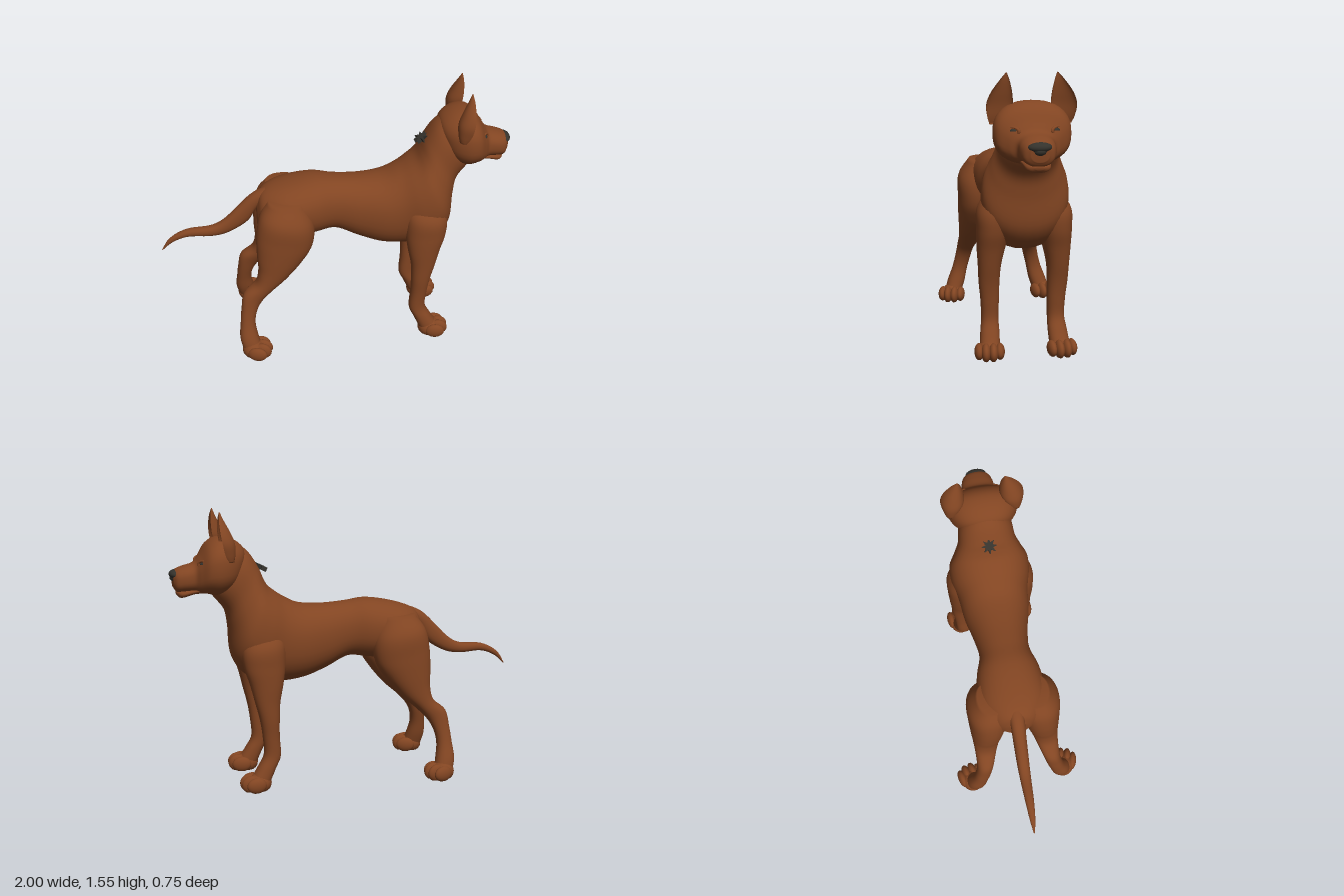
import * as THREE from 'three';

const coat = new THREE.MeshStandardMaterial({ color: 0x824522 });
coat.name = 'russet coat';
const dark = new THREE.MeshStandardMaterial({ color: 0x34322c });
dark.name = 'dark nose';

const ellipse = (c) => Math.sign(c) * Math.abs(c) ** 0.9;

// Smooth closed skin through rings [ax, ay, bx, by, z, halfWidth]: a and b are opposite ring points.
function loft(rows, steps = 6, sides = 32, section = ellipse) {
  const A = new THREE.CatmullRomCurve3(rows.map((r) => new THREE.Vector3(r[0], r[1], r[4])), false, 'catmullrom', 0.5);
  const B = new THREE.CatmullRomCurve3(rows.map((r) => new THREE.Vector3(r[2], r[3], r[5])), false, 'catmullrom', 0.5);
  const n = (rows.length - 1) * steps;
  const pos = [], idx = [];
  for (let i = 0; i <= n; i++) {
    const a = A.getPoint(i / n), b = B.getPoint(i / n);
    for (let j = 0; j < sides; j++) {
      const t = (j / sides) * Math.PI * 2, k = section(Math.cos(t));
      pos.push((a.x + b.x) / 2 + ((a.x - b.x) / 2) * k, (a.y + b.y) / 2 + ((a.y - b.y) / 2) * k,
        a.z + Math.max(b.z, 0.001) * ellipse(Math.sin(t)));
    }
  }
  for (let i = 0; i < n; i++) {
    for (let j = 0; j < sides; j++) {
      const p = i * sides + j, q = i * sides + ((j + 1) % sides);
      idx.push(p, q, p + sides, q, q + sides, p + sides);
    }
  }
  // end caps
  const first = rows[0], last = rows[rows.length - 1], c = pos.length / 3;
  for (const r of [first, last]) pos.push((r[0] + r[2]) / 2, (r[1] + r[3]) / 2, r[4]);
  for (let j = 0; j < sides; j++) {
    const k = (j + 1) % sides;
    idx.push(c, k, j, c + 1, n * sides + j, n * sides + k);
  }
  const g = new THREE.BufferGeometry();
  g.setAttribute('position', new THREE.Float32BufferAttribute(pos, 3));
  g.setIndex(idx);
  g.computeVertexNormals();
  return g;
}

function add(parent, name, geometry, material = coat) {
  const m = new THREE.Mesh(geometry, material);
  m.name = name;
  parent.add(m);
  return m;
}

function blob(parent, name, [x, y, z], [rx, ry, rz], material = coat) {
  const g = new THREE.SphereGeometry(1, 24, 16).scale(rx, ry, rz).translate(x, y, z);
  const p = g.attributes.position;
  for (let i = 0; i < p.count; i++) p.setY(i, Math.max(p.getY(i), 0)); // flat on the ground
  return add(parent, name, g, material);
}

function paw(parent, name, x, z, yaw) {
  const g = new THREE.Group();
  g.name = name;
  blob(g, 'pad', [-0.01, 0.04, 0], [0.068, 0.058, 0.066]);
  [-0.056, -0.02, 0.02, 0.056].forEach((dz) => {
    const inner = Math.abs(dz) < 0.03;
    blob(g, 'toe', [inner ? 0.042 : 0.022, 0.042, dz], [0.056, inner ? 0.05 : 0.044, 0.026]);
  });
  g.position.set(x, 0, z);
  g.rotation.y = yaw;
  parent.add(g);
}

export function createModel() {
  const dog = new THREE.Group();
  dog.name = 'dog';

  // trunk and neck
  add(dog, 'body', loft([
    [-0.445, 0.88, -0.445, 0.74, 0, 0.06],
    [-0.41, 0.955, -0.40, 0.69, 0, 0.13],
    [-0.30, 1.0, -0.28, 0.67, 0, 0.195],
    [-0.13, 1.03, -0.12, 0.69, 0, 0.18],
    [0, 1.018, 0, 0.70, 0, 0.145],
    [0.14, 1.01, 0.13, 0.64, 0, 0.16],
    [0.27, 1.02, 0.27, 0.592, 0, 0.19],
    [0.36, 1.06, 0.42, 0.58, 0, 0.205],
    [0.42, 1.10, 0.56, 0.605, 0, 0.23],
    [0.46, 1.135, 0.66, 0.72, 0, 0.228],
    [0.485, 1.18, 0.68, 0.90, 0, 0.19],
    [0.51, 1.24, 0.70, 1.0, 0, 0.163],
    [0.56, 1.32, 0.76, 1.08, 0, 0.15],
    [0.62, 1.37, 0.82, 1.16, 0, 0.12],
  ]));

  // tail
  add(dog, 'tail', loft([
    [-0.34, 0.89, -0.32, 0.975, 0, 0.05],
    [-0.40, 0.885, -0.39, 0.968, 0, 0.043],
    [-0.45, 0.835, -0.47, 0.93, 0, 0.04],
    [-0.50, 0.757, -0.55, 0.855, 0, 0.038],
    [-0.61, 0.69, -0.63, 0.775, 0, 0.035],
    [-0.71, 0.67, -0.71, 0.732, 0, 0.031],
    [-0.84, 0.674, -0.85, 0.718, 0, 0.024],
    [-0.93, 0.643, -0.95, 0.665, 0, 0.015],
    [-0.997, 0.587, -1.0, 0.59, 0, 0.003],
  ], 6, 20));

  // head, lower jaw and nose
  add(dog, 'head', loft([
    [0.575, 1.30, 0.60, 1.22, 0, 0.05],
    [0.60, 1.36, 0.64, 1.15, 0, 0.13],
    [0.66, 1.40, 0.68, 1.11, 0, 0.178],
    [0.73, 1.41, 0.74, 1.09, 0, 0.2],
    [0.79, 1.378, 0.80, 1.10, 0, 0.185],
    [0.835, 1.31, 0.84, 1.105, 0, 0.135],
    [0.865, 1.274, 0.87, 1.112, 0, 0.097],
    [0.92, 1.257, 0.92, 1.113, 0, 0.09],
    [0.96, 1.243, 0.96, 1.115, 0, 0.076],
    [0.983, 1.225, 0.98, 1.14, 0, 0.045],
  ], 6, 40, (c) => Math.sign(c) * Math.abs(c) ** 0.8));
  add(dog, 'lowerJaw', loft([
    [0.78, 1.17, 0.78, 1.10, 0, 0.10],
    [0.86, 1.14, 0.86, 1.10, 0, 0.075],
    [0.92, 1.13, 0.92, 1.083, 0, 0.064],
    [0.95, 1.125, 0.945, 1.082, 0, 0.05],
    [0.965, 1.115, 0.962, 1.098, 0, 0.02],
  ], 5, 24));
  blob(dog, 'nose', [0.965, 1.212, 0], [0.035, 0.026, 0.06], dark);
  blob(dog, 'nose', [0.965, 1.195, 0], [0.032, 0.026, 0.036], dark);

  // dark tuft on the nape
  const star = new THREE.Shape(Array.from({ length: 16 }, (_, i) => {
    const r = i % 2 ? 0.022 : 0.046, a = (i / 16) * Math.PI * 2;
    return new THREE.Vector2(Math.cos(a) * r, Math.sin(a) * r);
  }));
  const tuft = add(dog, 'napeTuft', new THREE.ExtrudeGeometry(star, { depth: 0.025, bevelEnabled: false })
    .rotateX(-Math.PI / 2), dark);
  tuft.position.set(0.502, 1.223, 0);
  tuft.rotation.z = 0.45;

  for (const s of [1, -1]) {
    // scooped ears, open to the front
    add(dog, 'ear', loft([
      [1.29, 0.180, 0.030, 0.700, 0.030],
      [1.33, 0.175, 0.048, 0.722, 0.060],
      [1.39, 0.165, 0.066, 0.737, 0.075],
      [1.45, 0.156, 0.055, 0.745, 0.060],
      [1.51, 0.141, 0.028, 0.745, 0.030],
      [1.552, 0.13, 0.003, 0.738, 0.005],
    ].map(([y, z, w, x, t]) => [x - t, y, x + t, y, z * s, w]), 5, 28, (c) => (c > 0 ? c : -0.4 * c)));

    // eyes with lids
    const eye = new THREE.Group();
    eye.name = 'eye';
    blob(eye, 'eyeball', [0, 0, 0], [0.022, 0.014, 0.014], dark).geometry.computeBoundingSphere();
    add(eye, 'eyelids', new THREE.TorusGeometry(0.026, 0.008, 10, 28).scale(1.25, 0.72, 1));
    eye.position.set(0.826, 1.272, 0.11 * s);
    eye.rotation.y = Math.PI / 2 - s * 0.65;
    dog.add(eye);

    // legs
    add(dog, 'frontLeg', loft([
      [0.59, 0.90, 0.40, 0.92, 0.12 * s, 0.07],
      [0.63, 0.80, 0.39, 0.82, 0.152 * s, 0.10],
      [0.625, 0.70, 0.395, 0.70, 0.167 * s, 0.09],
      [0.595, 0.60, 0.41, 0.60, 0.178 * s, 0.076],
      [0.57, 0.50, 0.43, 0.50, 0.186 * s, 0.062],
      [0.545, 0.40, 0.435, 0.40, 0.187 * s, 0.056],
      [0.53, 0.30, 0.435, 0.30, 0.183 * s, 0.05],
      [0.525, 0.20, 0.43, 0.19, 0.182 * s, 0.047],
      [0.56, 0.13, 0.46, 0.12, 0.186 * s, 0.052],
      [0.60, 0.07, 0.50, 0.03, 0.192 * s, 0.055],
    ]));
    add(dog, 'hindLeg', loft([
      [-0.18, 0.94, -0.38, 0.945, 0.11 * s, 0.09],
      [-0.13, 0.81, -0.435, 0.86, 0.138 * s, 0.124],
      [-0.14, 0.68, -0.458, 0.74, 0.152 * s, 0.113],
      [-0.20, 0.58, -0.46, 0.62, 0.163 * s, 0.098],
      [-0.29, 0.475, -0.456, 0.53, 0.174 * s, 0.08],
      [-0.38, 0.395, -0.475, 0.45, 0.185 * s, 0.064],
      [-0.445, 0.325, -0.545, 0.385, 0.2 * s, 0.05],
      [-0.478, 0.26, -0.565, 0.29, 0.216 * s, 0.046],
      [-0.488, 0.19, -0.575, 0.20, 0.236 * s, 0.046],
      [-0.475, 0.115, -0.582, 0.11, 0.26 * s, 0.053],
      [-0.46, 0.06, -0.56, 0.02, 0.282 * s, 0.05],
    ]));
    paw(dog, 'frontPaw', 0.565, 0.196 * s, -0.1 * s);
    paw(dog, 'hindPaw', -0.495, 0.288 * s, -0.25 * s);
  }
  return dog;
}
